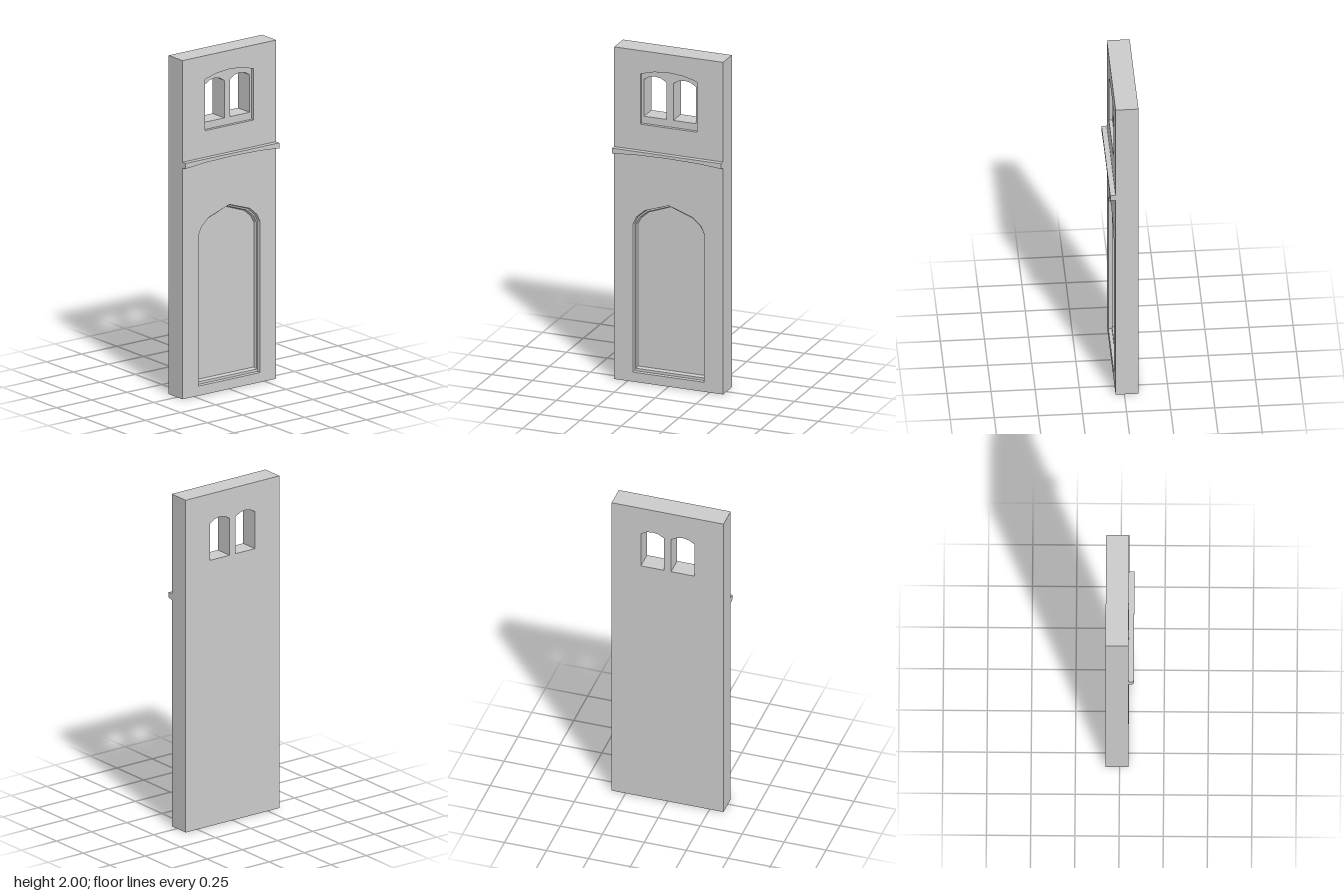
import * as THREE from 'three';

const W = 0.333, H = 2, FRONT = 0.05, STEP = 0.03, PANEL = 0.01, BACK = -0.08;
const material = new THREE.MeshStandardMaterial({ color: 0xcccccc, flatShading: true });

// Mirrors the right half of an arch (bottom to apex) into a closed counter-clockwise outline.
function outline(half, cx = 0) {
  const left = half.slice(0, -1).reverse().map(([x, y]) => [-x, y]);
  return [...half, ...left].map(([x, y]) => [x + cx, y]);
}

const vectors = (pts) => pts.map(([x, y]) => new THREE.Vector2(x, y));

// Flat face at depth z with openings cut through it.
function face(pts, z, holes = []) {
  const shape = new THREE.Shape(vectors(pts));
  shape.holes = holes.map((h) => new THREE.Path(vectors(h)));
  return new THREE.ShapeGeometry(shape).translate(0, 0, z);
}

// Joins successive outlines [points, z]; counter-clockwise outlines give inward-facing sides.
function loft(rings) {
  const pos = [];
  for (let r = 0; r < rings.length - 1; r++) {
    const [p, zp] = rings[r], [q, zq] = rings[r + 1];
    p.forEach((_, i) => {
      const j = (i + 1) % p.length;
      const a = [...p[i], zp], b = [...p[j], zp], c = [...q[j], zq], d = [...q[i], zq];
      pos.push(...a, ...b, ...c, ...a, ...c, ...d);
    });
  }
  const g = new THREE.BufferGeometry();
  g.setAttribute('position', new THREE.Float32BufferAttribute(pos, 3));
  g.computeVertexNormals();
  return g;
}

// Door arch outline, shrunk at the jambs by dx, at the arch by dy, with its sill at the given height.
const doorway = (dx, dy, sill) => outline([
  [0.218 - dx, sill], [0.218 - dx, 0.95 - dy * 0.5], [0.197 - dx, 0.995 - dy * 0.8],
  [0.146 - dx * 0.7, 1.04 - dy], [0, 1.09 - dy],
]);

export function createModel() {
  const group = new THREE.Group();
  const add = (name, geometry) => {
    const mesh = new THREE.Mesh(geometry, material);
    mesh.name = name;
    group.add(mesh);
  };

  const wall = [[-W, 0], [W, 0], [W, H], [-W, H]];
  const windowRecess = outline([[0.173, 1.557], [0.173, 1.86], [0.09, 1.882], [0, 1.89]]);
  const lights = [-0.09, 0.09].map((cx) =>
    outline([[0.069, 1.6], [0.069, 1.822], [0.035, 1.842], [0, 1.848]], cx));
  const door = [
    [doorway(0, 0, 0.057), FRONT],
    [doorway(0.003, 0.005, 0.06), STEP],
    [doorway(0.01, 0.013, 0.075), STEP],
    [doorway(0.014, 0.02, 0.083), PANEL],
  ];

  // Wall slab
  add('wallFront', face(wall, FRONT, [windowRecess, door[0][0]]));
  add('wallBack', face(wall, -BACK, lights).rotateY(Math.PI));
  add('wallSides', loft([[[...wall].reverse(), FRONT], [[...wall].reverse(), BACK]]));

  // Blind doorway: stepped surround and flat panel
  add('doorSurround', loft(door));
  add('doorPanel', face(door[3][0], PANEL));

  // Paired window in a shallow recess
  add('windowRecessSides', loft([[windowRecess, FRONT], [windowRecess, STEP]]));
  add('windowTracery', face(windowRecess, STEP, lights));
  lights.forEach((l, i) =>
    add(i ? 'leftWindowReveal' : 'rightWindowReveal', loft([[l, STEP], [l, BACK]])));

  // String course with a gently arched, slightly sloping underside
  const ledge = new THREE.Shape(vectors([
    [-W, 1.363], [-0.19, 1.374], [0, 1.378], [0.19, 1.374], [W, 1.363], [W, 1.4], [-W, 1.4],
  ]));
  const ledgeGeo = new THREE.ExtrudeGeometry(ledge, { depth: 0.03, bevelEnabled: false });
  const p = ledgeGeo.attributes.position;
  for (let i = 0; i < p.count; i++) {
    if (p.getZ(i) > 0.02 && p.getY(i) < 1.39) p.setY(i, p.getY(i) + 0.005);
  }
  ledgeGeo.computeVertexNormals();
  add('stringCourse', ledgeGeo.translate(0, 0, FRONT));

  return group;
}
